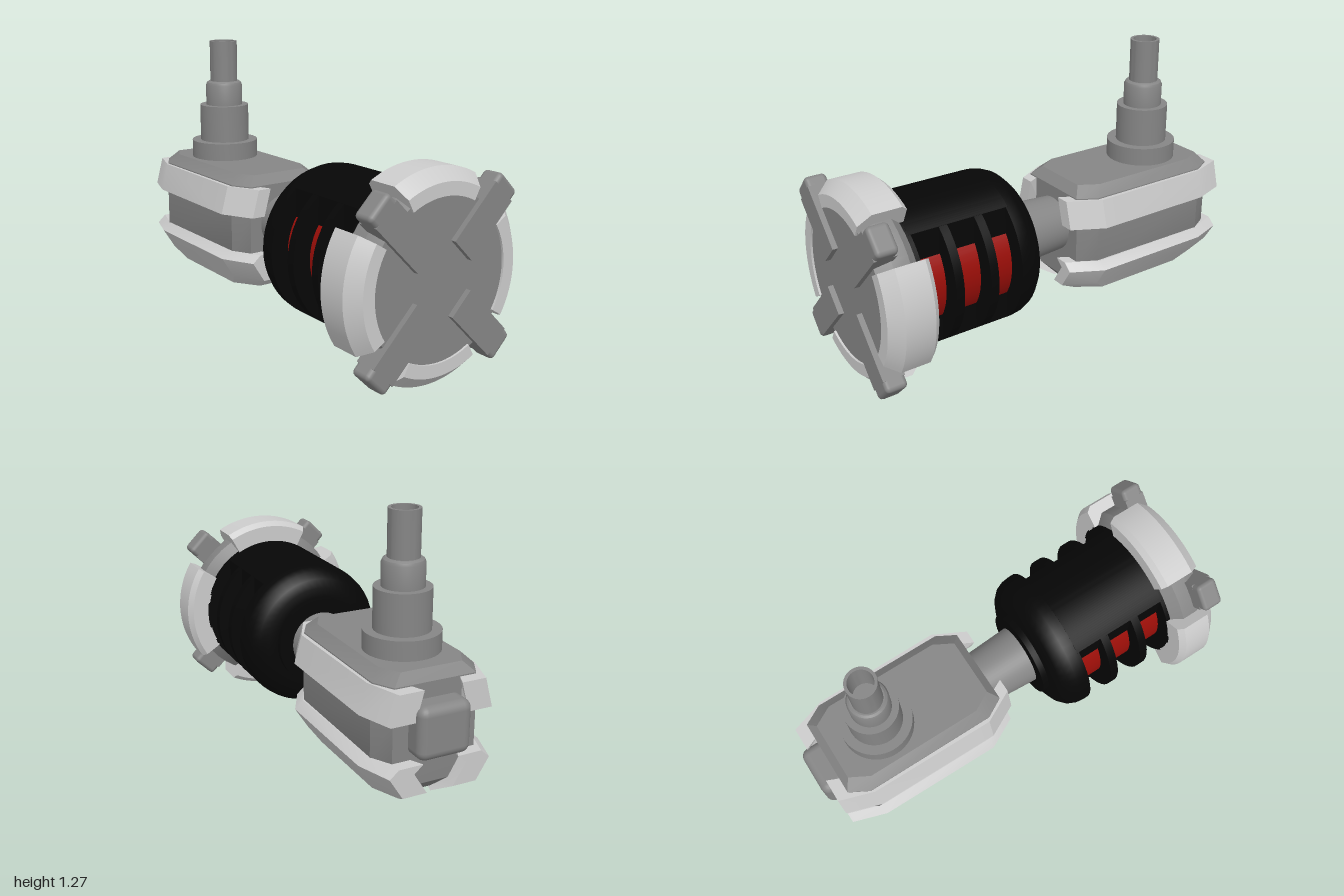
import * as THREE from 'three';
import { toCreasedNormals } from 'three/addons/utils/BufferGeometryUtils.js';
import { RoundedBoxGeometry } from 'three/addons/geometries/RoundedBoxGeometry.js';

const mat = (color) => new THREE.MeshStandardMaterial({ color });
const light = mat(0xcccccc), grey = mat(0x858585), black = mat(0x060606), red = mat(0x9a0e08);
const AXIS_Y = 0.45;

function add(parent, name, geometry, material, x = 0, y = 0, z = 0) {
  const mesh = new THREE.Mesh(geometry, material);
  mesh.name = name;
  mesh.position.set(x, y, z);
  parent.add(mesh);
  return mesh;
}

// Closed solid through equal-length sections; the 2D contour triangulates the end caps.
function loft(contour, sections) {
  const n = contour.length, last = sections.length - 1, tris = [];
  for (let s = 0; s < last; s++) {
    for (let i = 0; i < n; i++) {
      const j = (i + 1) % n, a = sections[s], b = sections[s + 1];
      tris.push([a[i], a[j], b[j]], [a[i], b[j], b[i]]);
    }
  }
  // Caps wind the same way as the contour, so that they agree with the walls.
  const pts = contour.map(([u, v]) => new THREE.Vector2(u, v));
  const clockwise = THREE.ShapeUtils.isClockWise(pts);
  for (const face of THREE.ShapeUtils.triangulateShape(pts, [])) {
    const faceClockwise = THREE.ShapeUtils.isClockWise(face.map((i) => pts[i]));
    const [a, b, c] = faceClockwise === clockwise ? face : [...face].reverse();
    tris.push([sections[0][a], sections[0][c], sections[0][b]]);
    tris.push([sections[last][a], sections[last][b], sections[last][c]]);
  }
  // Turn everything outward when the enclosed volume is negative.
  const volume = tris.reduce((sum, [a, b, c]) => sum + a.dot(b.clone().cross(c)), 0);
  if (volume < 0) tris.forEach((t) => t.reverse());
  const geometry = new THREE.BufferGeometry().setFromPoints(tris.flat());
  geometry.computeVertexNormals();
  return toCreasedNormals(geometry, 0.4);
}

const lathe = (profile) => toCreasedNormals(
  new THREE.LatheGeometry(profile.map(([r, y]) => new THREE.Vector2(r, y)), 48), 0.5);

// Lathe turned so that its axis runs along z.
const latheZ = (profile) => lathe(profile).rotateX(Math.PI / 2);
const discZ = (r, z0, z1) => latheZ([[0, z0], [r, z0], [r, z1], [0, z1]]);

// Part of a ring around z, swept from a convex [radius, z] profile.
function ringSegment(profile, middle, half) {
  const sections = [];
  for (let k = 0; k <= 16; k++) {
    const a = middle - half + (2 * half * k) / 16;
    sections.push(profile.map(([r, z]) => new THREE.Vector3(r * Math.cos(a), r * Math.sin(a), z)));
  }
  return loft(profile, sections);
}

// Rectangle with cut corners in plan.
const cutRect = (hx, z0, z1, cx, cz) => [
  [hx - cx, z0], [hx, z0 - cz], [hx, z1 + cz], [hx - cx, z1],
  [-hx + cx, z1], [-hx, z1 + cz], [-hx, z0 - cz], [-hx + cx, z0]];

const atHeight = (points, y) => points.map(([x, z]) => new THREE.Vector3(x, y, z));

function createHead() {
  const head = new THREE.Group();
  head.name = 'head';
  head.position.y = AXIS_Y;

  // Barrel with three slots on each side
  add(head, 'barrelBack', latheZ([[0, 0.135], [0.213, 0.135], [0.213, 0.165], [0.26, 0.165],
    [0.3, 0.185], [0.33, 0.215], [0.345, 0.25], [0.35, 0.285], [0.35, 0.31], [0, 0.31]]), black);
  const a = Math.acos(0.22 / 0.35);
  const core = new THREE.Shape();
  core.absarc(0, 0, 0.35, a, Math.PI - a, false);
  core.absarc(0, 0, 0.35, Math.PI + a, 2 * Math.PI - a, false);
  core.closePath();
  add(head, 'barrelCore', toCreasedNormals(new THREE.ExtrudeGeometry(core,
    { depth: 0.48, bevelEnabled: false, curveSegments: 24 }), 0.5), black, 0, 0, 0.3);
  for (const [z0, z1] of [[0.43, 0.47], [0.6, 0.64], [0.77, 0.81]]) {
    add(head, 'barrelFin', discZ(0.35, z0, z1), black);
  }
  add(head, 'redInsert', discZ(0.265, 0.305, 0.775), red);

  // Front plate with its split rim
  add(head, 'frontPlate', latheZ([[0, 0.79], [0.35, 0.79], [0.395, 0.835], [0.395, 0.91],
    [0.36, 0.975], [0, 0.975]]), grey);
  const rim = [[0.343, 0.985], [0.4, 0.985], [0.453, 0.93], [0.453, 0.795], [0.43, 0.77], [0.343, 0.77]];
  for (let i = 0; i < 4; i++) {
    const half = THREE.MathUtils.degToRad(i % 2 ? 28 : 32);
    add(head, 'rimSegment', ringSegment(rim, i * Math.PI / 2, half), light);
  }

  // Diagonal clips across the front
  for (let i = 0; i < 4; i++) {
    const clip = new THREE.Group(), shift = i % 2 ? -0.01 : 0.01;
    clip.name = 'clip';
    clip.rotation.z = Math.PI / 4 + i * Math.PI / 2;
    add(clip, 'clipBar', new THREE.BoxGeometry(0.3, 0.135, 0.1), grey, 0.295, shift, 0.95);
    add(clip, 'clipTip', new RoundedBoxGeometry(0.12, 0.135, 0.1, 2, 0.02), grey, 0.435, shift, 0.95);
    head.add(clip);
  }
  return head;
}

function createHousing() {
  const housing = new THREE.Group();
  housing.name = 'housing';

  // Core block, narrowing at top and bottom
  const levels = [[0.135, 0.165, -0.16, -0.83], [0.2, 0.21, -0.1, -0.9], [0.28, 0.24, -0.1, -0.905],
    [0.52, 0.24, -0.1, -0.905], [0.64, 0.235, -0.1, -0.905], [0.685, 0.19, -0.14, -0.87]];
  const rings = levels.map(([, hx, z0, z1]) => cutRect(hx, z0, z1, 0.05, 0.09));
  add(housing, 'housingCore', loft(rings[0], rings.map((r, i) => atHeight(r, levels[i][0]))), grey);

  // Corner guards: a C-shaped plan per side, outer edge leaning inward away from the middle
  const inner = [[0.12, -0.88], [0.19, -0.88], [0.225, -0.8], [0.225, -0.2], [0.19, -0.12], [0.145, -0.12]];
  const outer = [[0.145, -0.05], [0.21, -0.05], [0.288, -0.2], [0.283, -0.8], [0.23, -0.96], [0.12, -0.96]];
  const lean = (side, dx, shorten = 0, cut = 0) => [
    ...inner.map(([x, z]) => [side * (x - cut), -0.5 + (z + 0.5) * (1 - shorten)]),
    ...outer.map(([x, z]) => [side * (x - dx), -0.5 + (z + 0.5) * (1 - shorten)])];
  for (const side of [1, -1]) {
    const plan = lean(side, 0);
    add(housing, 'upperGuard', loft(plan, [
      atHeight(plan, 0.505), atHeight(lean(side, 0.035), 0.635)]), light);
    add(housing, 'lowerGuard', loft(plan, [
      atHeight(lean(side, 0.04), 0.32), atHeight(plan, 0.285),
      atHeight(lean(side, 0.06, 0, 0.05), 0.19),
      atHeight(lean(side, 0.1, 0.22, 0.08), 0.13)]), light);
  }

  // Rear knob
  add(housing, 'rearKnob', new RoundedBoxGeometry(0.24, 0.23, 0.16, 3, 0.04), grey, 0, 0.457, -0.92);

  // Stepped, hollow pipe on top
  add(housing, 'topPipe', lathe([[0, 0.66], [0.165, 0.66], [0.165, 0.77], [0.122, 0.77],
    [0.122, 0.95], [0.091, 0.95], [0.091, 1.05], [0.085, 1.063], [0.075, 1.07], [0.068, 1.07],
    [0.068, 1.27], [0.055, 1.27], [0.055, 1.1], [0, 1.1]]), grey, 0, 0, -0.635);
  return housing;
}

export function createModel() {
  const model = new THREE.Group();
  model.name = 'connector';
  model.add(createHead(), createHousing());
  // Neck joining head and housing
  add(model, 'neck', latheZ([[0, -0.2], [0.125, -0.2], [0.147, 0.15], [0, 0.15]]), grey, 0, AXIS_Y);
  return model;
}
